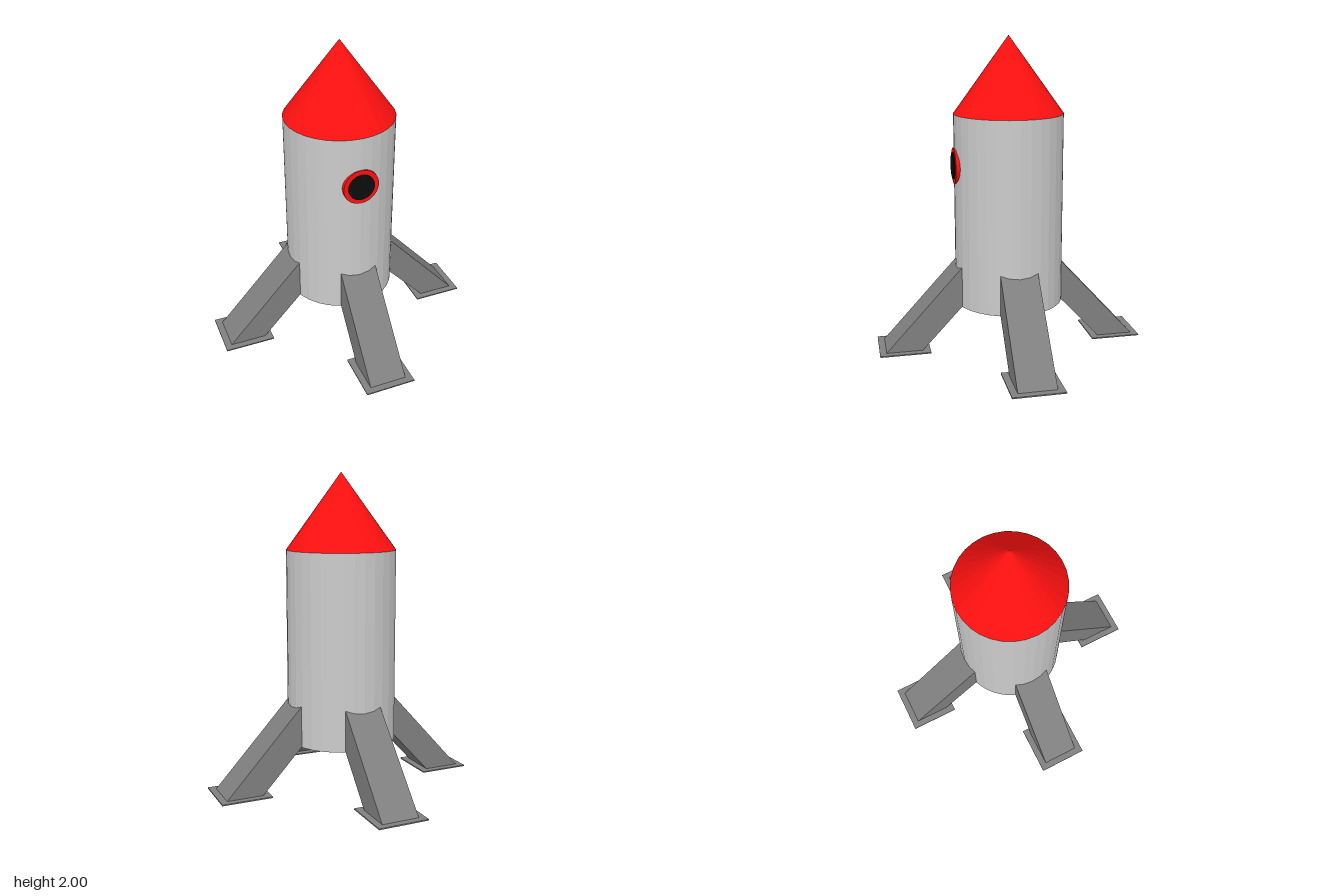
import * as THREE from 'three';

const paint = (color) => new THREE.MeshStandardMaterial({ color, flatShading: true, side: THREE.DoubleSide });

export function createModel() {
  const model = new THREE.Group();
  model.name = 'rocket';
  const grey = paint(0xcccccc);
  const darkGrey = paint(0x808080);
  const red = paint(0xff1010);
  const black = paint(0x0c0c0c);

  const add = (name, geometry, material, x, y, z, parent = model) => {
    const mesh = new THREE.Mesh(geometry, material);
    mesh.name = name;
    mesh.position.set(x, y, z);
    parent.add(mesh);
    return mesh;
  };

  // Hull and nose
  const bottom = 0.285, shoulder = 1.515, radius = 0.35, sides = 32;
  add('body', new THREE.CylinderGeometry(radius, radius, shoulder - bottom, sides), grey, 0, (bottom + shoulder) / 2, 0);
  add('noseCone', new THREE.ConeGeometry(radius, 2 - shoulder, sides), red, 0, (2 + shoulder) / 2, 0);

  // Open engine ring under the hull
  add('engineNozzle', new THREE.CylinderGeometry(0.175, 0.175, 0.04, sides, 1, true), black, 0, 0.268, 0);

  // Porthole on the front
  const disc = (r, depth) => new THREE.CylinderGeometry(r, r, depth, sides).rotateX(Math.PI / 2);
  add('windowFrame', disc(0.115, 0.045), red, 0, 1.19, 0.333);
  add('windowPane', disc(0.085, 0.03), black, 0, 1.19, 0.348);

  // Slanted leg, its inner end buried in the hull
  const legWidth = 0.24;
  const profile = new THREE.Shape([[0.3, 0.318], [0.588, 0.008], [0.822, 0.008], [0.3, 0.579]]
    .map(([x, y]) => new THREE.Vector2(x, y)));
  const legGeometry = new THREE.ExtrudeGeometry(profile, { depth: legWidth, bevelEnabled: false });
  const footGeometry = new THREE.BoxGeometry(0.325, 0.008, 0.325);

  // Four legs with foot plates
  for (let i = 0; i < 4; i++) {
    const landingLeg = new THREE.Group();
    landingLeg.name = 'landingLeg' + (i + 1);
    add('leg', legGeometry, darkGrey, 0, 0, -legWidth / 2, landingLeg);
    add('foot', footGeometry, darkGrey, 0.7025, 0.004, 0, landingLeg);
    landingLeg.rotation.y = i * Math.PI / 2;
    model.add(landingLeg);
  }
  return model;
}
